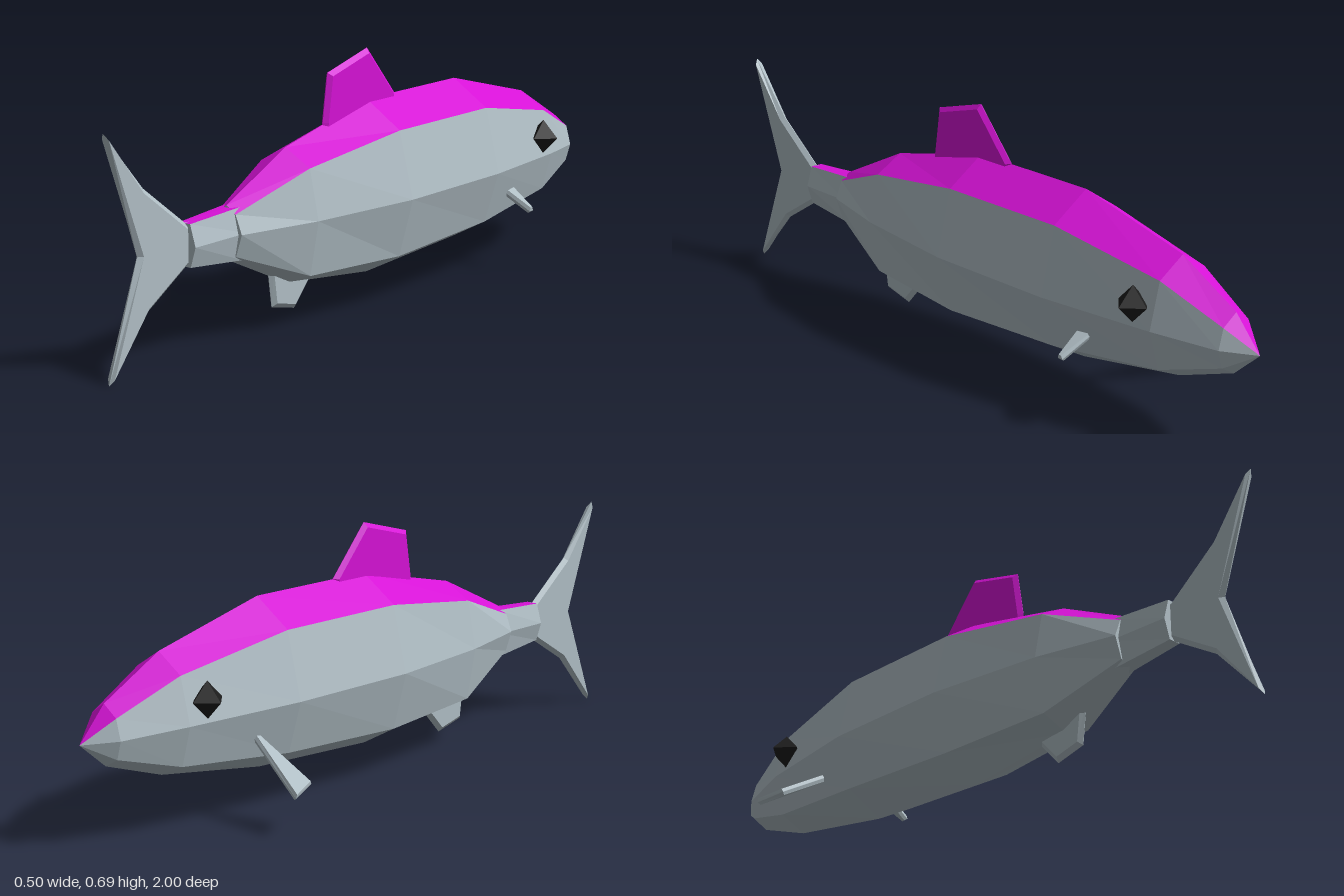
import * as THREE from 'three';

const CENTRE_X = 0.055;

const mat = (name, color) => {
  const m = new THREE.MeshStandardMaterial({ color, flatShading: true });
  m.name = name;
  return m;
};

// Section: z, then [half width, y] of the upper, middle and lower side edges, then top and bottom y.
const ring = ([z, [wu, yu], [wm, ym], [wl, yl], yTop, yBot]) => [
  [0, yTop], [-wu, yu], [-wm, ym], [-wl, yl], [0, yBot], [wl, yl], [wm, ym], [wu, yu],
].map(([x, y]) => [x, y, z]);

// Skins the chosen strips of a row of sections, optionally closing the rear end.
function loft(sections, strips, rearCap) {
  const rings = sections.map(ring);
  const out = [];
  for (let i = 0; i < rings.length - 1; i++) {
    for (const j of strips) {
      const k = (j + 1) % 8;
      const a = rings[i][j], b = rings[i][k], c = rings[i + 1][k], d = rings[i + 1][j];
      out.push(...a, ...b, ...c, ...a, ...c, ...d);
    }
  }
  if (rearCap) {
    const r = rings[rings.length - 1];
    for (let j = 1; j < 7; j++) out.push(...r[0], ...r[j], ...r[j + 1]);
  }
  const g = new THREE.BufferGeometry();
  g.setAttribute('position', new THREE.Float32BufferAttribute(out, 3));
  g.computeVertexNormals();
  return g;
}

// Flat plate with a ridge running round its rim.
function plate(points, half, bevel) {
  const shape = new THREE.Shape(points.map(([x, y]) => new THREE.Vector2(x, y)));
  const g = new THREE.ExtrudeGeometry(shape, {
    depth: 0.001, bevelEnabled: true, bevelThickness: half,
    bevelSize: bevel, bevelOffset: -bevel, bevelSegments: 1,
  });
  return g.translate(0, 0, -0.0005);
}

// Upright fin outlined in (z, y).
const uprightFin = (points) => plate(points, 0.011, 0.012).rotateY(-Math.PI / 2);

export function createModel() {
  const model = new THREE.Group();
  model.name = 'fish';
  const silver = mat('silver', 0xb0bec5);
  const magenta = mat('magenta', 0xd612d6);
  const black = mat('black', 0x1c1c1c);

  const add = (name, geometry, material) => {
    const mesh = new THREE.Mesh(geometry, material);
    mesh.name = name;
    mesh.position.x = CENTRE_X;
    model.add(mesh);
    return mesh;
  };

  // Body from nose to rear, and the narrow tail root that plugs into it
  const body = [
    [-1, [0, 0.28], [0, 0.28], [0, 0.28], 0.28, 0.28],
    [-0.92, [0.045, 0.34], [0.06, 0.285], [0.045, 0.235], 0.37, 0.21],
    [-0.74, [0.08, 0.42], [0.112, 0.295], [0.08, 0.185], 0.47, 0.148],
    [-0.4, [0.112, 0.483], [0.157, 0.3], [0.112, 0.155], 0.556, 0.095],
    [0, [0.112, 0.483], [0.157, 0.3], [0.112, 0.137], 0.556, 0.076],
    [0.34, [0.082, 0.435], [0.11, 0.3], [0.082, 0.15], 0.48, 0.118],
    [0.57, [0.03, 0.35], [0.05, 0.3], [0.03, 0.24], 0.37, 0.228],
  ];
  const tailRoot = [
    [0.54, [0.025, 0.365], [0.04, 0.298], [0.025, 0.225], 0.366, 0.225],
    [0.725, [0.018, 0.354], [0.035, 0.297], [0.018, 0.243], 0.354, 0.243],
  ];
  const back = [7, 0], flanks = [1, 2, 3, 4, 5, 6];
  add('bodyFlanks', loft(body, flanks, true), silver);
  add('bodyBack', loft(body, back, false), magenta);
  add('tailRootFlanks', loft(tailRoot, flanks, true), silver);
  add('tailRootBack', loft(tailRoot, back, false), magenta);

  // Upright fins on the centre line
  add('tailFin', uprightFin([
    [0.7, 0.243], [0.725, 0.243], [0.86, 0.16], [1, 0.005], [0.895, 0.303],
    [1, 0.622], [0.87, 0.468], [0.725, 0.355], [0.7, 0.355],
  ]), silver);
  add('dorsalFin', uprightFin([
    [-0.12, 0.557], [-0.1, 0.5], [0.19, 0.47], [0.188, 0.52], [0.168, 0.65], [0, 0.695],
  ]), magenta);
  add('analFin', uprightFin([
    [0.24, 0.12], [0.31, 0.043], [0.4, 0.065], [0.415, 0.18], [0.24, 0.18],
  ]), silver);

  // Side fins: the one on +x shows only its narrow end
  const sideFin = () => plate([
    [0, -0.008], [0.23, -0.05], [0.2, 0.03], [0, 0.008],
  ], 0.009, 0.004).rotateX(Math.PI / 2);
  const rightFin = add('rightSideFin', sideFin().rotateZ(Math.PI * 7 / 6), silver);
  rightFin.position.set(-0.05, 0.225, -0.515);
  const leftFin = add('leftSideFin', sideFin().rotateZ(Math.PI * 5 / 6), silver);
  leftFin.position.set(0.25, 0.177, -0.512);

  // Eyes
  for (const side of [-1, 1]) {
    const eye = add(side < 0 ? 'rightEye' : 'leftEye', new THREE.OctahedronGeometry(0.049), black);
    eye.position.set(CENTRE_X + side * 0.117, 0.355, -0.685);
  }
  return model;
}
